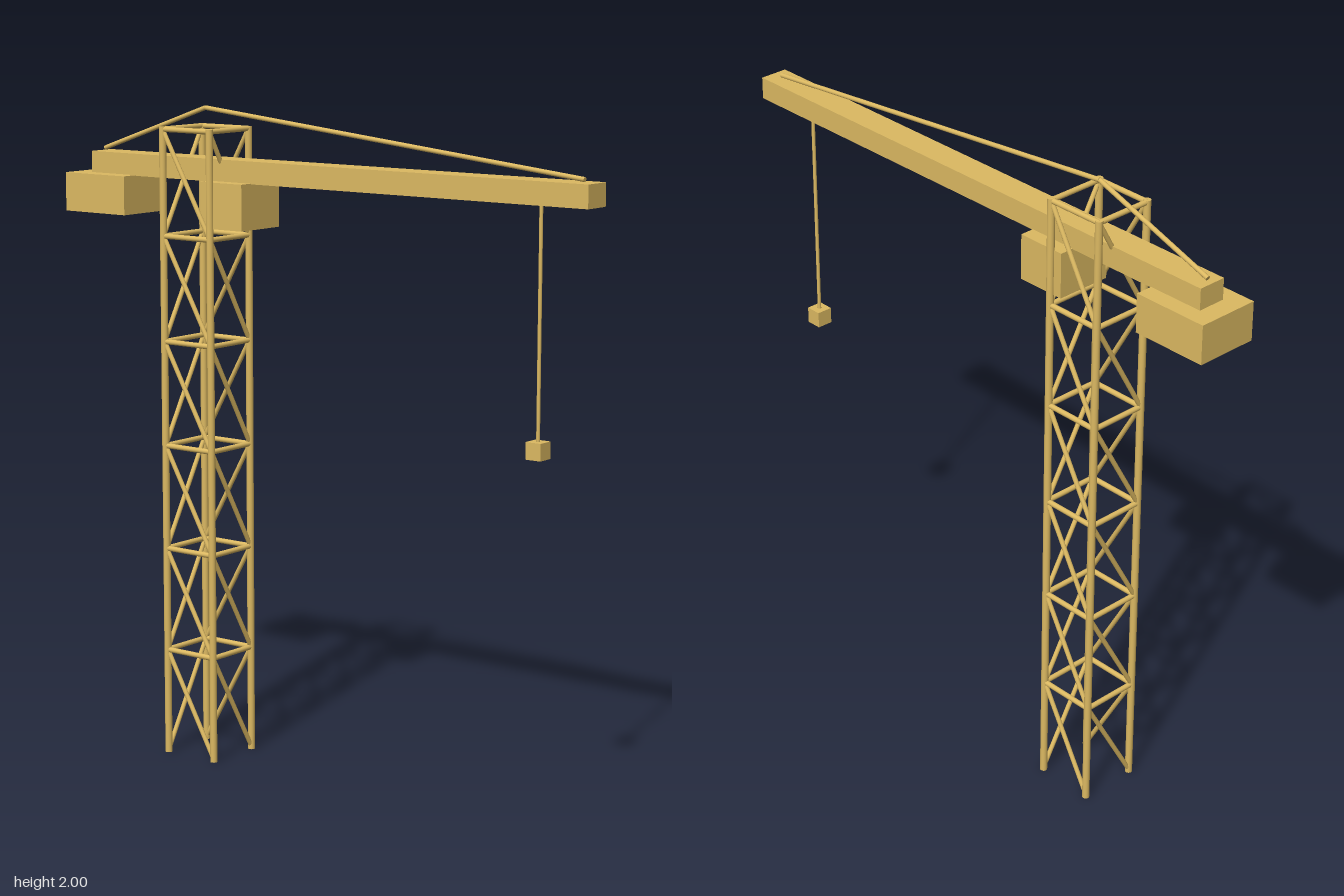
import * as THREE from 'three';

export function createModel() {
  const crane = new THREE.Group();
  crane.name = 'towerCrane';
  const paint = new THREE.MeshStandardMaterial({ color: 0xdcb962 });
  paint.name = 'ochrePaint';

  // Round bar between two points
  function bar(name, a, b, radius, parent = crane) {
    const from = new THREE.Vector3(...a);
    const dir = new THREE.Vector3(...b).sub(from);
    const geometry = new THREE.CylinderGeometry(radius, radius, dir.length(), 16);
    const mesh = new THREE.Mesh(geometry, paint);
    mesh.name = name;
    mesh.position.copy(from).addScaledVector(dir, 0.5);
    mesh.quaternion.setFromUnitVectors(new THREE.Vector3(0, 1, 0), dir.normalize());
    parent.add(mesh);
  }

  // Box given by its limits on x and y, and its half depth
  function block(name, x0, x1, y0, y1, halfZ) {
    const mesh = new THREE.Mesh(new THREE.BoxGeometry(x1 - x0, y1 - y0, halfZ * 2), paint);
    mesh.name = name;
    mesh.position.set((x0 + x1) / 2, (y0 + y1) / 2, 0);
    crane.add(mesh);
  }

  // Lattice mast: four legs, a ring on top of each bay, one diagonal per face
  const mast = new THREE.Group();
  mast.name = 'mast';
  crane.add(mast);
  const mastX = -0.453, half = 0.091, base = 0.01, bay = 0.32, bays = 6;
  const corners = [[1, 1], [-1, 1], [-1, -1], [1, -1]];
  const at = (i, y) => {
    const [sx, sz] = corners[i % 4];
    return [mastX + sx * half, y, sz * half];
  };
  for (let i = 0; i < 4; i++) {
    bar('mastLeg', at(i, 0.003), at(i, 1.937), 0.011, mast);
    for (let k = 0; k < bays; k++) {
      const y0 = base + k * bay, y1 = y0 + bay;
      bar('mastRung', at(i, y1), at(i + 1, y1), 0.008, mast);
      bar('mastDiagonal', at(i, y0), at(i + 1, y1), 0.007, mast);
    }
  }

  // Jib, counterweight and cab
  block('jib', -0.874, 0.932, 1.779, 1.846, 0.044);
  block('counterweight', -0.935, -0.696, 1.663, 1.781, 0.097);
  block('cab', -0.4, -0.243, 1.643, 1.781, 0.088);

  // Tie bars meeting above the mast
  const apex = [mastX, 1.993, 0];
  bar('rearTie', apex, [-0.857, 1.854, 0], 0.007);
  bar('frontTie', apex, [0.892, 1.854, 0], 0.007);

  // Hoist cable and hook block
  bar('hoistCable', [0.752, 1.1, 0], [0.752, 1.79, 0], 0.0055);
  block('hookBlock', 0.727, 0.777, 1.066, 1.116, 0.025);

  return crane;
}
